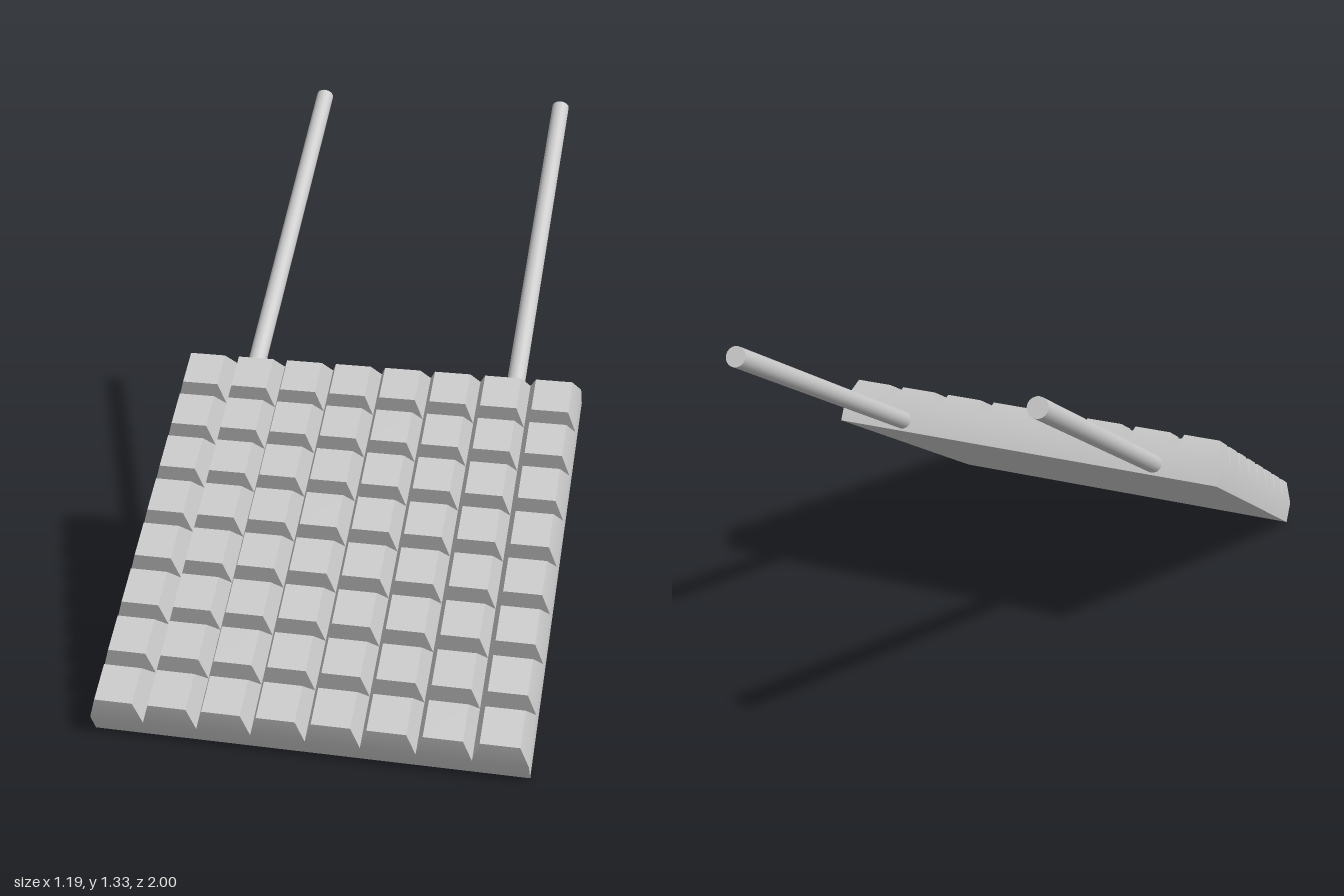
import * as THREE from 'three';
import { mergeGeometries, toCreasedNormals } from 'three/addons/utils/BufferGeometryUtils.js';

const SIZE = 1.19;           // side of the square head
const COUNT = 8;             // teeth per side
const PITCH = SIZE / COUNT;
const SLAB = 0.068;          // slab thickness
const TOOTH = 0.066;         // tooth height
const TAPER = 0.71;          // tooth top width / base width

// Truncated pyramid sitting on the slab
function toothGeometry(x, z) {
  const g = new THREE.BoxGeometry(PITCH, TOOTH, PITCH);
  const p = g.attributes.position;
  for (let i = 0; i < p.count; i++) {
    if (p.getY(i) > 0) {
      p.setX(i, p.getX(i) * TAPER);
      p.setZ(i, p.getZ(i) * TAPER);
    }
  }
  return g.translate(x, SLAB + TOOTH / 2, z);
}

export function createModel() {
  const grey = new THREE.MeshStandardMaterial({ color: 0xcccccc });
  grey.name = 'grey';

  const model = new THREE.Group();
  model.name = 'tenderizer';

  // Slab and teeth share edge vertices, so the outer walls shade softly
  const parts = [
    new THREE.BoxGeometry(SIZE, SLAB, SIZE, COUNT, 1, COUNT).translate(0, SLAB / 2, 0),
  ];
  for (let i = 0; i < COUNT; i++) {
    for (let j = 0; j < COUNT; j++) {
      parts.push(toothGeometry((i + 0.5) * PITCH - SIZE / 2, (j + 0.5) * PITCH - SIZE / 2));
    }
  }
  const head = new THREE.Mesh(toCreasedNormals(mergeGeometries(parts), Math.PI / 6), grey);
  head.name = 'toothedHead';
  head.position.z = -SIZE / 2;
  model.add(head);

  // Two round rods running out of the back edge
  const start = SIZE - 0.01, end = 2.33;
  for (const side of [-1, 1]) {
    const rod = new THREE.Mesh(new THREE.CylinderGeometry(0.027, 0.027, end - start, 20), grey);
    rod.name = side > 0 ? 'leftRod' : 'rightRod';
    rod.rotation.x = -Math.PI / 2;
    rod.position.set(side * 0.397, SLAB / 2, -(start + end) / 2);
    model.add(rod);
  }

  // Lean the whole thing back on its front lower edge
  model.rotation.x = Math.atan2(0.65, 0.995);
  model.position.z = 0.947;

  const root = new THREE.Group();
  root.name = 'model';
  root.add(model);
  return root;
}
